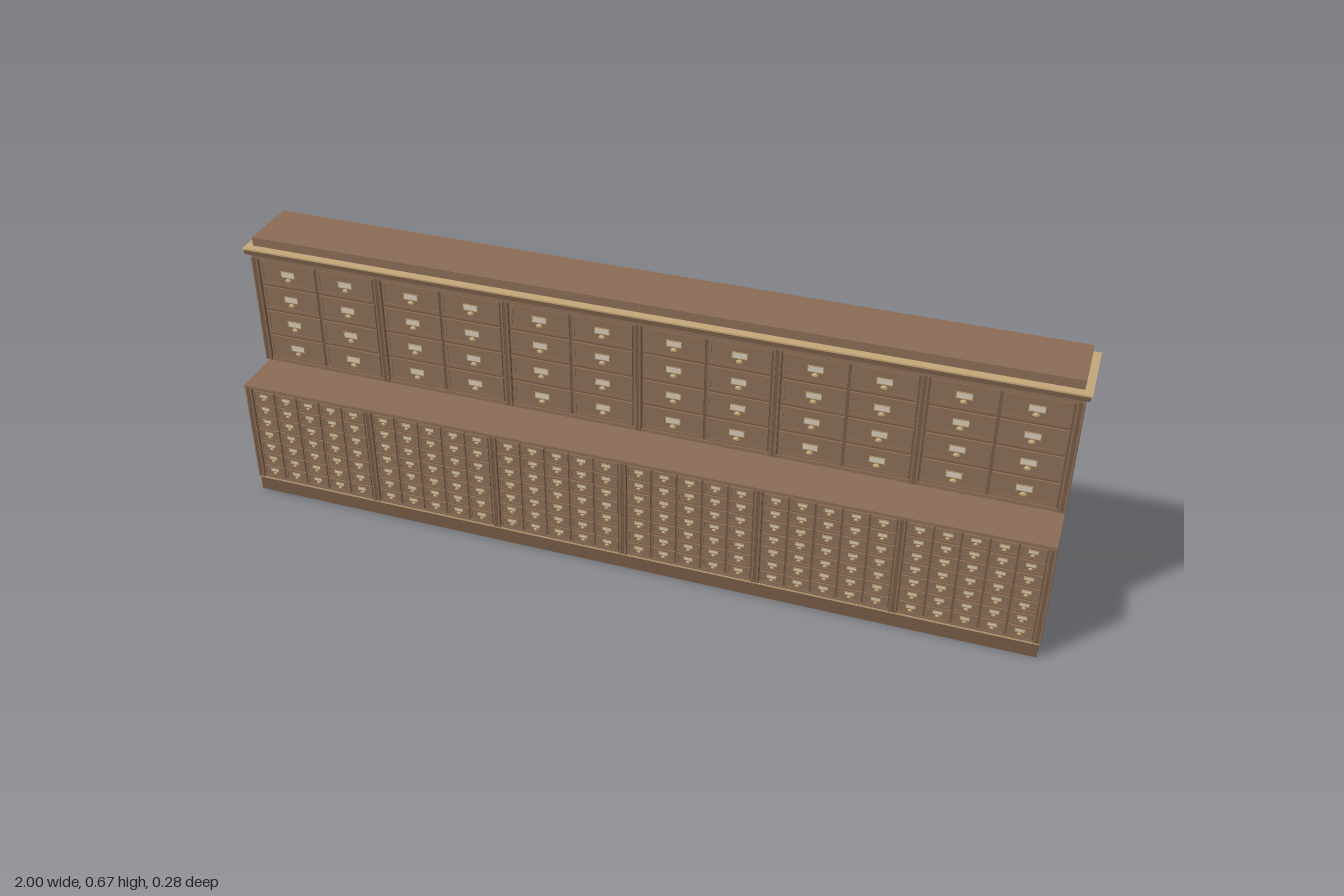
import * as THREE from 'three';

const mat = (color) => new THREE.MeshStandardMaterial({ color });
const wood = mat(0x8b6d56);
const darkWood = mat(0x765a45);
const gold = mat(0xc4a878);
const paper = mat(0xd6cbb8);
const brass = mat(0xb39a6c);

const BAYS = 6;
const PITCH = 0.3265;

function add(parent, name, geometry, material, x = 0, y = 0, z = 0) {
  const mesh = new THREE.Mesh(geometry, material);
  mesh.name = name;
  mesh.position.set(x, y, z);
  parent.add(mesh);
  return mesh;
}

// Box given by its half width and its y and z ranges
function slab(parent, name, halfW, y0, y1, z0, z1, material = wood) {
  const g = new THREE.BoxGeometry(halfW * 2, y1 - y0, z1 - z0);
  return add(parent, name, g, material, 0, (y0 + y1) / 2, (z0 + z1) / 2);
}

// Rectangular ring, lying in xy and rising along +z
function ring(w, h, border, depth) {
  const rect = (path, a, b) => path.moveTo(-a, -b).lineTo(a, -b).lineTo(a, b).lineTo(-a, b).closePath();
  const shape = rect(new THREE.Shape(), w / 2, h / 2);
  shape.holes.push(rect(new THREE.Path(), w / 2 - border, h / 2 - border));
  return new THREE.ExtrudeGeometry(shape, { depth, bevelEnabled: false });
}

// Half-round cup pull, flat side at z = 0, open below
function cupPull(w, h, depth) {
  const g = new THREE.SphereGeometry(1, 8, 4, 0, Math.PI, 0, Math.PI / 2);
  return g.scale(w / 2, h, depth);
}

// Returns a function that places one drawer from shared geometries
function drawerKit(w, h, border, label, pull, rise) {
  const front = new THREE.BoxGeometry(w, h, 0.004);
  const rim = ring(w, h, border, 0.0015);
  const card = new THREE.BoxGeometry(label[0], label[1], 0.0008);
  const holder = ring(label[0] + 0.003, label[1] + 0.003, 0.0018, 0.0014);
  const cup = cupPull(...pull);
  return (parent, x, y, z) => {
    const drawer = new THREE.Group();
    drawer.name = 'drawer';
    drawer.position.set(x, y, z);
    add(drawer, 'drawerFront', front, wood, 0, 0, 0.002);
    add(drawer, 'drawerRim', rim, wood, 0, 0, 0.004);
    add(drawer, 'labelCard', card, paper, 0, rise, 0.0044);
    add(drawer, 'labelHolder', holder, brass, 0, rise, 0.004);
    add(drawer, 'cupPull', cup, brass, 0, rise - label[1] / 2 - pull[1] - 0.003, 0.004);
    parent.add(drawer);
  };
}

// Face frame with pilasters, and a grid of drawers in every bay
function drawerFace(parent, name, o) {
  const face = new THREE.Group();
  face.name = name;
  parent.add(face);
  const h = o.y1 - o.y0, midY = (o.y0 + o.y1) / 2;
  slab(face, 'backPanel', 0.98, o.y0, o.y1, o.z, o.z + 0.002, darkWood);
  slab(face, 'bottomRail', 0.98, o.y0, o.gridY0, o.z, o.z + 0.005);
  slab(face, 'topRail', 0.98, o.gridY1, o.y1, o.z, o.z + 0.005);

  const pilaster = new THREE.BoxGeometry(0.019, h, 0.006);
  const bead = new THREE.BoxGeometry(0.004, h, 0.002);
  for (let i = 0; i <= BAYS; i++) {
    const x = (i - BAYS / 2) * PITCH;
    add(face, 'pilaster', pilaster, darkWood, x, midY, o.z + 0.003);
    for (const s of [-1, 1]) add(face, 'pilasterBead', bead, wood, x + s * 0.006, midY, o.z + 0.007);
  }

  const cw = (PITCH - 0.019) / o.cols, rh = (o.gridY1 - o.gridY0) / o.rows;
  const place = drawerKit(cw - o.gap, rh - o.gap, o.border, o.label, o.pull, o.rise);
  for (let b = 0; b < BAYS; b++) {
    const bay = new THREE.Group();
    bay.name = 'drawerBay';
    face.add(bay);
    const cx = (b + 0.5 - BAYS / 2) * PITCH;
    for (let c = 0; c < o.cols; c++) {
      for (let r = 0; r < o.rows; r++) {
        place(bay, cx + (c + 0.5 - o.cols / 2) * cw, o.gridY0 + (r + 0.5) * rh, o.z + 0.001);
      }
    }
  }
}

export function createModel() {
  const cabinet = new THREE.Group();
  cabinet.name = 'apothecaryCabinet';

  // Lower carcass and counter
  slab(cabinet, 'plinth', 0.985, 0, 0.037, -0.131, 0.135, darkWood);
  slab(cabinet, 'plinthTrim', 0.986, 0.037, 0.041, -0.132, 0.136, gold);
  slab(cabinet, 'lowerBody', 0.98, 0.041, 0.309, -0.131, 0.123);
  slab(cabinet, 'counter', 0.987, 0.309, 0.318, -0.138, 0.141);

  // Upper carcass and stepped cornice
  slab(cabinet, 'upperBody', 0.98, 0.318, 0.61, -0.131, 0.013);
  slab(cabinet, 'corniceLower', 0.987, 0.61, 0.629, -0.138, 0.025);
  slab(cabinet, 'corniceUpper', 0.997, 0.629, 0.641, -0.14, 0.039, darkWood);
  slab(cabinet, 'corniceTrim', 1, 0.641, 0.645, -0.142, 0.041, gold);
  slab(cabinet, 'topCap', 0.982, 0.645, 0.667, -0.131, 0.02);

  // Small drawers below, wide drawers above
  drawerFace(cabinet, 'lowerDrawers', {
    y0: 0.041, y1: 0.309, z: 0.13, gridY0: 0.045, gridY1: 0.305,
    cols: 5, rows: 7, gap: 0.005, border: 0.004,
    label: [0.02, 0.007], pull: [0.012, 0.005, 0.003], rise: 0.004,
  });
  drawerFace(cabinet, 'upperDrawers', {
    y0: 0.328, y1: 0.615, z: 0.0205, gridY0: 0.336, gridY1: 0.614,
    cols: 2, rows: 4, gap: 0.007, border: 0.007,
    label: [0.034, 0.014], pull: [0.018, 0.008, 0.005], rise: 0.003,
  });
  return cabinet;
}
